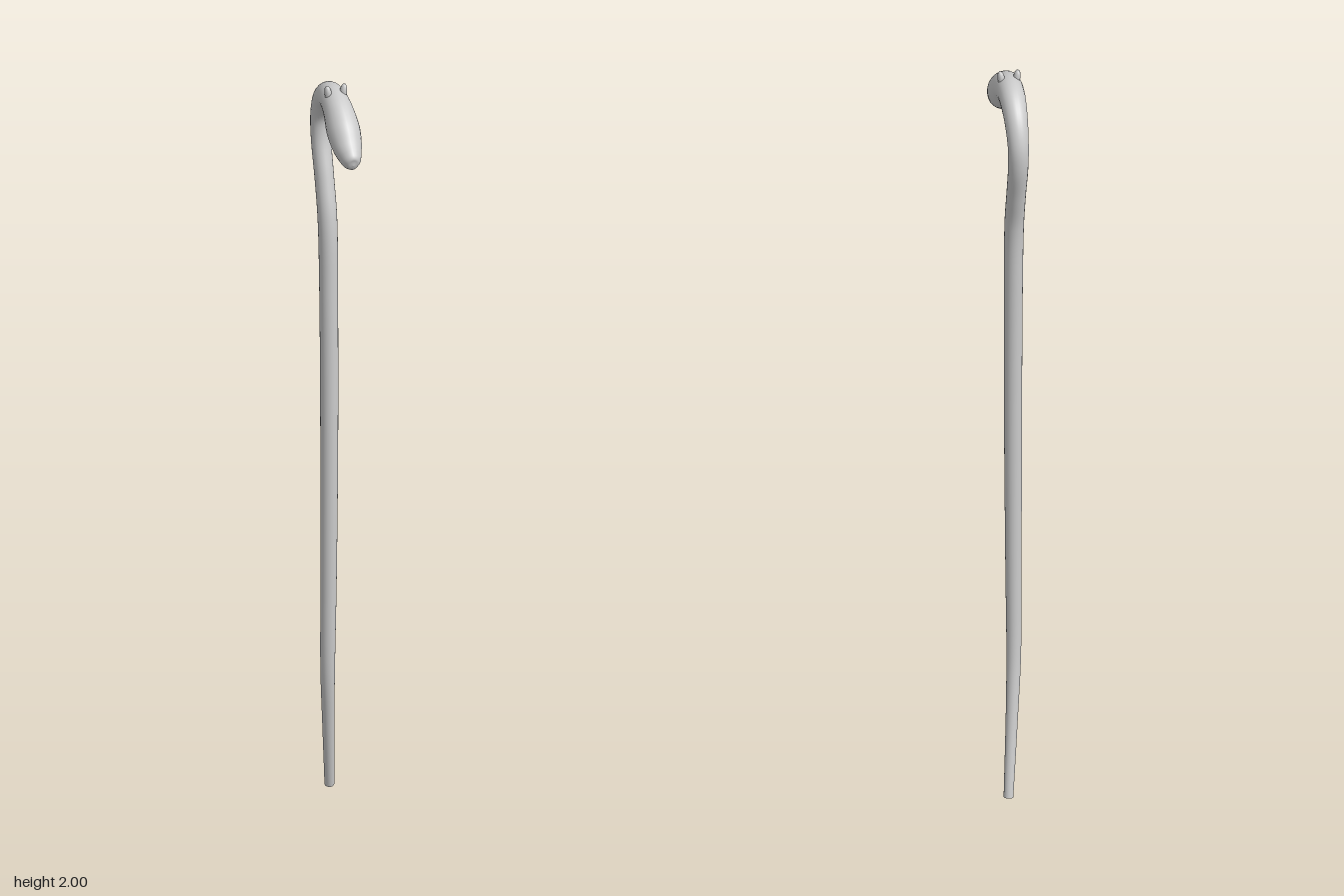
import * as THREE from 'three';

// Stations from the ground tip to the snout: x, y, z, half width, half depth
const STATIONS = [
  [0.028, 0.003, -0.141, 0.012, 0.012],
  [0.012, 0.2, -0.098, 0.015, 0.015],
  [0.002, 0.36, -0.07, 0.018, 0.018],
  [0, 0.6, -0.056, 0.02, 0.02],
  [0, 1.0, -0.05, 0.022, 0.022],
  [0, 1.4, -0.055, 0.023, 0.024],
  [0, 1.6, -0.066, 0.024, 0.026],
  [0, 1.7, -0.092, 0.024, 0.026],
  [0, 1.8, -0.121, 0.025, 0.025],
  [0, 1.86, -0.121, 0.026, 0.026],
  [0, 1.915, -0.092, 0.029, 0.031],
  [0, 1.945, -0.05, 0.032, 0.035],
  [0, 1.95, -0.012, 0.034, 0.037],
  [0, 1.937, 0.028, 0.037, 0.042],
  [0, 1.905, 0.07, 0.041, 0.046],
  [0, 1.876, 0.105, 0.036, 0.039],
  [0, 1.861, 0.13, 0.028, 0.032],
  [0, 1.854, 0.144, 0.022, 0.026],
  [0, 1.85, 0.152, 0.013, 0.017],
  [0, 1.849, 0.155, 0.0005, 0.0005],
];

// Lofts elliptical rings along the stations
function loft(stations, steps, sides) {
  const path = new THREE.CatmullRomCurve3(stations.map(s => new THREE.Vector3(s[0], s[1], s[2])));
  const size = new THREE.CatmullRomCurve3(
    stations.map(s => new THREE.Vector3(s[3], s[4], 0)), false, 'catmullrom', 0.5);
  const position = [], index = [];
  for (let i = 0; i <= steps; i++) {
    const c = path.getPoint(i / steps), t = path.getTangent(i / steps), r = size.getPoint(i / steps);
    const normal = t.clone().cross(new THREE.Vector3(1, 0, 0)).normalize();
    const side = normal.clone().cross(t);
    for (let j = 0; j < sides; j++) {
      const a = (j / sides) * Math.PI * 2;
      const p = c.clone().addScaledVector(side, Math.cos(a) * r.x).addScaledVector(normal, Math.sin(a) * r.y);
      position.push(p.x, p.y, p.z);
      if (i < steps) {
        const k = (j + 1) % sides, row = i * sides, next = row + sides;
        index.push(row + j, row + k, next + j, row + k, next + k, next + j);
      }
    }
  }
  const geometry = new THREE.BufferGeometry();
  geometry.setAttribute('position', new THREE.Float32BufferAttribute(position, 3));
  geometry.setIndex(index);
  geometry.computeVertexNormals();
  return { geometry, path };
}

export function createModel() {
  const group = new THREE.Group();
  const material = new THREE.MeshStandardMaterial({ color: 0xcccccc });
  const add = (name, geometry) => {
    const mesh = new THREE.Mesh(geometry, material);
    mesh.name = name;
    group.add(mesh);
    return mesh;
  };

  // Shaft, crook and animal head in one continuous surface
  const { geometry, path } = loft(STATIONS, (STATIONS.length - 1) * 6, 24);
  add('shaftAndHead', geometry);

  // Flat end on the ground
  const cap = add('tipCap', new THREE.CircleGeometry(0.012, 24));
  const start = path.getPoint(0);
  cap.position.copy(start);
  cap.lookAt(start.clone().sub(path.getTangent(0)));

  // Small rounded ears on the crown
  const profile = [[0.011, -0.014], [0.0105, 0], [0.009, 0.008], [0.006, 0.014], [0.003, 0.0165], [0, 0.017]]
    .map(([x, y]) => new THREE.Vector2(x, y));
  for (const s of [-1, 1]) {
    const ear = add(s > 0 ? 'leftEar' : 'rightEar', new THREE.LatheGeometry(profile, 12));
    ear.position.set(s * 0.02, 1.983, 0.005);
    ear.rotation.z = -s * 0.15;
    ear.scale.x = 0.85;
  }
  return group;
}
